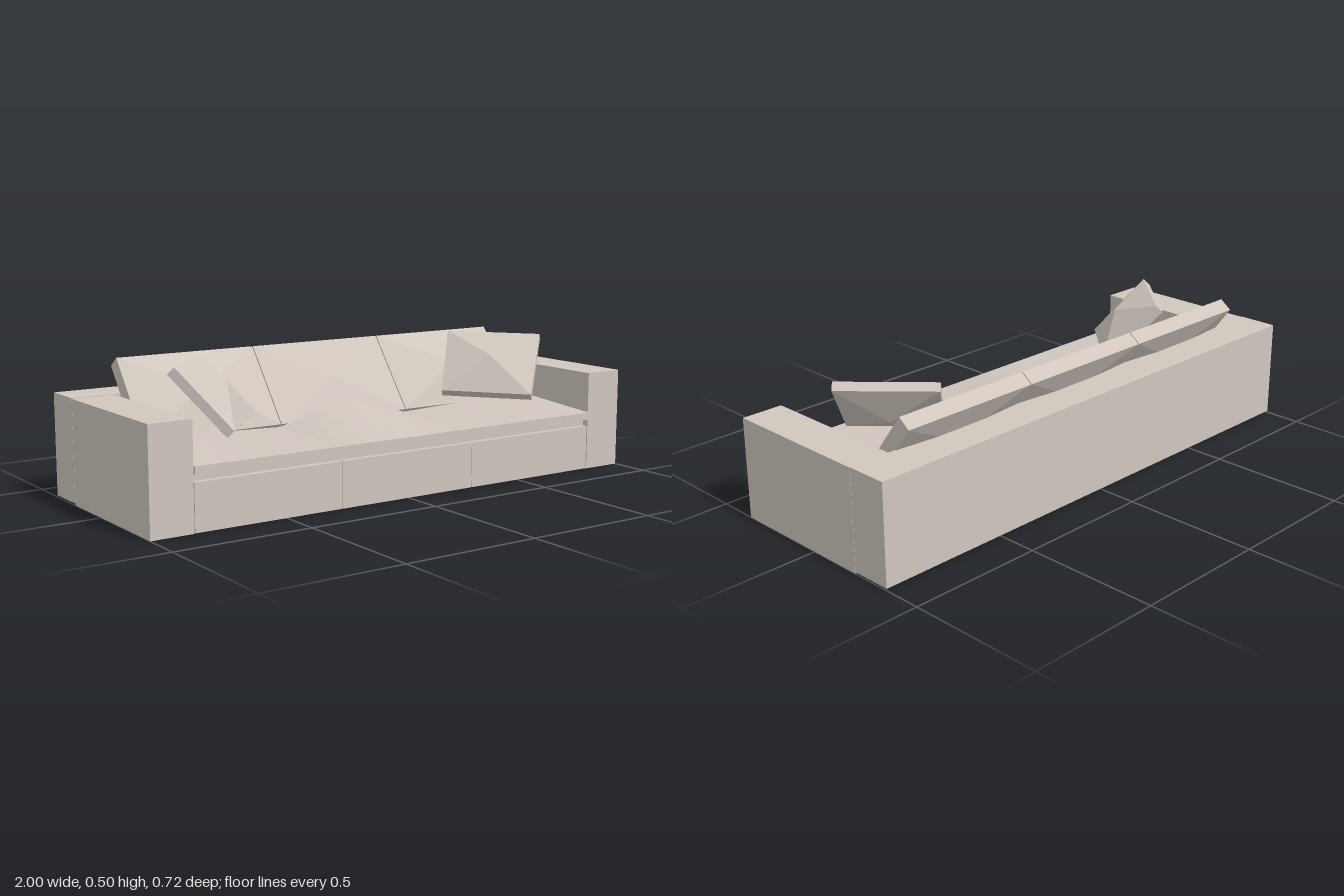
import * as THREE from 'three';

const fabric = new THREE.MeshStandardMaterial({ color: 0xd0c6be, flatShading: true });
fabric.name = 'beige fabric';

function add(parent, name, geometry) {
  const mesh = new THREE.Mesh(geometry, fabric);
  mesh.name = name;
  parent.add(mesh);
}

// Box given by its lower and upper limits on each axis
function block(parent, name, [x0, x1], [y0, y1], [z0, z1]) {
  const g = new THREE.BoxGeometry(x1 - x0, y1 - y0, z1 - z0);
  g.translate((x0 + x1) / 2, (y0 + y1) / 2, (z0 + z1) / 2);
  add(parent, name, g);
}

// Faceted cushion: four corners (counterclockwise from its front), a thin rim
// and a shallow pyramid on both faces
function cushionGeometry(corners, half, frontBulge, backBulge) {
  const c = corners.map((p) => new THREE.Vector3(...p));
  const n = c[1].clone().sub(c[0]).cross(c[2].clone().sub(c[0])).normalize();
  const middle = c.reduce((sum, p) => sum.add(p), new THREE.Vector3()).divideScalar(4);
  const front = c.map((p) => p.clone().addScaledVector(n, half));
  const back = c.map((p) => p.clone().addScaledVector(n, -half));
  const frontPeak = middle.clone().addScaledVector(n, half + frontBulge);
  const backPeak = middle.clone().addScaledVector(n, -half - backBulge);
  const points = [];
  for (let i = 0; i < 4; i++) {
    const j = (i + 1) % 4;
    points.push(front[i], front[j], frontPeak);
    points.push(back[j], back[i], backPeak);
    points.push(front[i], back[i], back[j], front[i], back[j], front[j]);
  }
  const g = new THREE.BufferGeometry().setFromPoints(points);
  g.computeVertexNormals();
  return g;
}

// One seat pad: level at the front, rising gently towards the back.
// The middle pad crowns, the outer pads rise towards the arms.
function seatGeometry(x0, x1) {
  const w = x1 - x0, d = 0.57, h = 0.028, cx = (x0 + x1) / 2, cz = 0.075;
  const g = new THREE.BoxGeometry(w, h, d, 12, 1, 4);
  const p = g.attributes.position;
  for (let i = 0; i < p.count; i++) {
    if (p.getY(i) < 0) continue;
    const x = Math.abs(p.getX(i) + cx);
    const crown = x < 0.28 ? 0.06 * Math.cos((x / 0.28) * Math.PI / 2) : 0.03 * (x - 0.28) / 0.56;
    const rise = Math.min(1, (0.36 - p.getZ(i) - cz) / 0.42);
    p.setY(i, h / 2 + crown * rise);
  }
  g.translate(cx, 0.19 + h / 2, cz);
  g.computeVertexNormals();
  return g;
}

export function createModel() {
  const sofa = new THREE.Group();
  sofa.name = 'sofa';

  // Frame
  block(sofa, 'backrest', [-1, 1], [0.006, 0.37], [-0.36, -0.209]);
  block(sofa, 'rightArm', [-1, -0.845], [0, 0.368], [-0.208, 0.353]);
  block(sofa, 'leftArm', [0.845, 1], [0, 0.368], [-0.208, 0.353]);
  block(sofa, 'seatRecess', [-0.845, 0.845], [0.16, 0.192], [-0.208, 0.33]);

  // Three seat sections, with the pads touching
  const seams = [-0.843, -0.28, 0.28, 0.843];
  for (let i = 0; i < 3; i++) {
    block(sofa, 'seatBase', [seams[i] + 0.001, seams[i + 1] - 0.001], [0.001, 0.165], [-0.208, 0.352]);
    add(sofa, 'seatCushion', seatGeometry(seams[i], seams[i + 1]));
  }

  // Three leaning back cushions, the outer two fuller
  const backSeams = [-0.822, -0.277, 0.277, 0.822];
  for (let i = 0; i < 3; i++) {
    const x0 = backSeams[i] + 0.002, x1 = backSeams[i + 1] - 0.002;
    const corners = [
      [x0, 0.474, -0.257], [x0, 0.214, -0.062],
      [x1, 0.214, -0.062], [x1, 0.474, -0.257],
    ];
    add(sofa, 'backCushion', cushionGeometry(corners, 0.0275, i === 1 ? 0.015 : 0.04, 0.02));
  }

  // Throw pillows tilted in the two corners, mirrored
  const pillow = [
    [-0.80, 0.487, 0.125], [-0.65, 0.28, 0.25],
    [-0.42, 0.285, 0.0], [-0.56, 0.49, -0.14],
  ];
  const mirrored = pillow.map(([x, y, z]) => [-x, y, z]).reverse();
  add(sofa, 'rightPillow', cushionGeometry(pillow, 0.017, 0.05, 0.05));
  add(sofa, 'leftPillow', cushionGeometry(mirrored, 0.017, 0.05, 0.05));

  return sofa;
}
